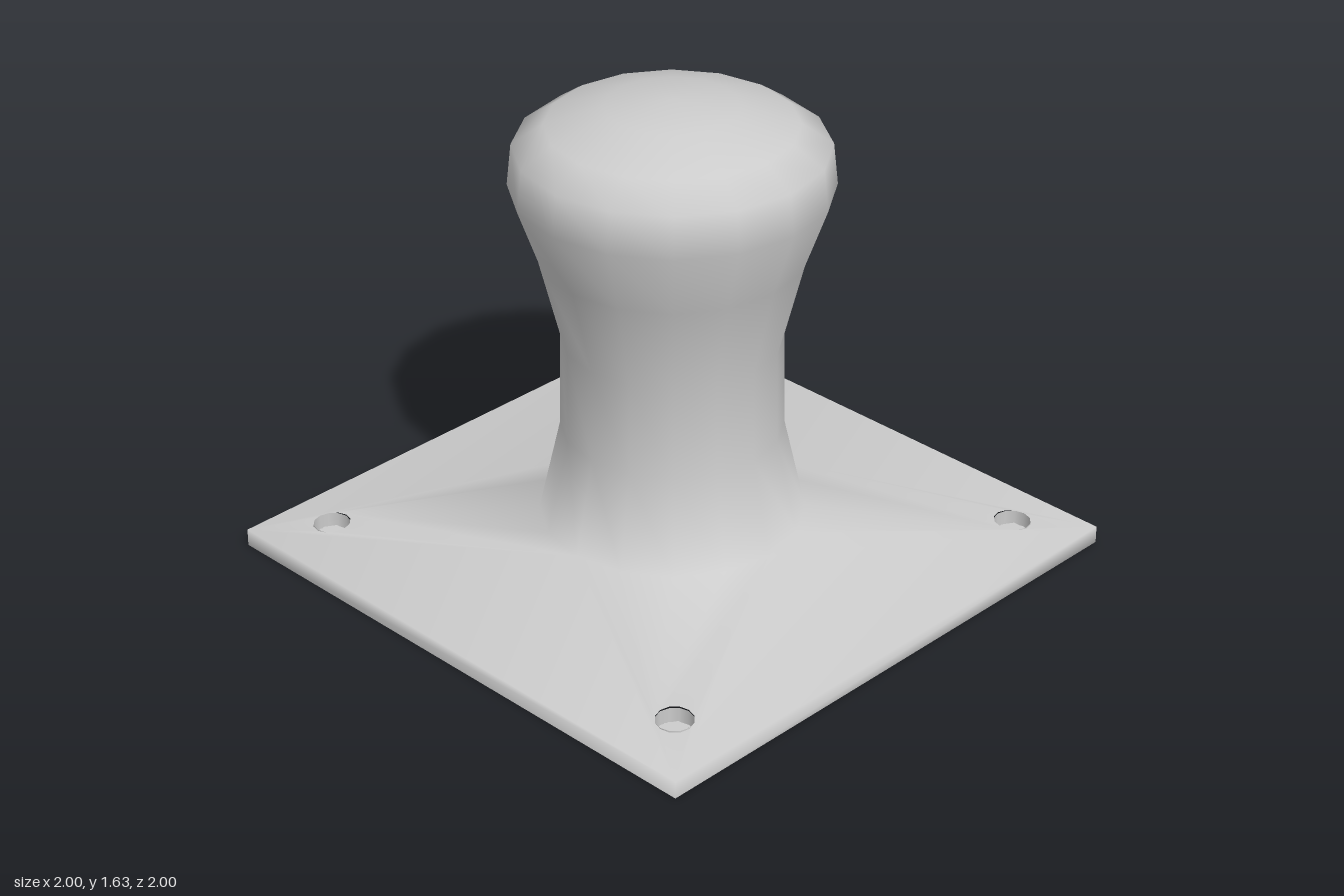
import * as THREE from 'three';
import { mergeGeometries, mergeVertices } from 'three/addons/utils/BufferGeometryUtils.js';

const EDGE_Y = 0.06, FOOT_Y = 0.15, FOOT_R = 0.44, BOLT = 0.8, HOLE_R = 0.062;

// Height of the sloping plate: falls from the foot of the post to the corners
function plateHeight(x, z) {
  if (Math.hypot(x, z) < FOOT_R + 0.01) return FOOT_Y;
  const toCorner = Math.hypot(1 - Math.abs(x), 1 - Math.abs(z));
  return EDGE_Y + (FOOT_Y - EDGE_Y) * toCorner / (Math.SQRT2 - FOOT_R);
}

// Flat outline laid down and lifted onto the plate slope
function plateSurface(shape) {
  const geo = new THREE.ShapeGeometry(shape).rotateX(-Math.PI / 2);
  const p = geo.attributes.position;
  for (let i = 0; i < p.count; i++) p.setY(i, plateHeight(p.getX(i), p.getZ(i)));
  return geo;
}

function ringPoints(cx, cy, r, n, turn, count = n) {
  return Array.from({ length: count }, (_, i) => {
    const a = (i / n) * turn;
    return new THREE.Vector2(cx + r * Math.cos(a), cy + r * Math.sin(a));
  });
}

export function createModel() {
  const group = new THREE.Group();
  group.name = 'bollard';
  const material = new THREE.MeshStandardMaterial({ color: 0xcccccc, side: THREE.DoubleSide });

  // Post profile from foot to crown
  const profile = [
    [FOOT_R, FOOT_Y], [0.367, 0.475], [0.362, 0.8], [0.44, 1.11], [0.522, 1.34],
    [0.507, 1.48], [0.405, 1.55], [0.215, 1.612], [0, 1.635],
  ].map(([r, y]) => new THREE.Vector2(r, y));
  const parts = [new THREE.LatheGeometry(profile, 16)];

  // Plate quarter: corner fan with its bolt hole, edge triangle and rim
  const corner = new THREE.Shape([
    ...ringPoints(0, 0, FOOT_R, 4, Math.PI / 2, 5), new THREE.Vector2(1, 1),
  ]);
  corner.holes.push(new THREE.Path(ringPoints(BOLT, BOLT, HOLE_R, 12, -Math.PI * 2)));
  const edge = new THREE.Shape([
    new THREE.Vector2(0, FOOT_R), new THREE.Vector2(1, 1), new THREE.Vector2(-1, 1),
  ]);
  const rim = new THREE.PlaneGeometry(2, EDGE_Y).translate(0, EDGE_Y / 2, 1);
  const quarter = [plateSurface(corner), plateSurface(edge), rim];
  for (let q = 0; q < 4; q++) {
    for (const geo of quarter) parts.push(geo.clone().rotateY(q * Math.PI / 2));
  }

  // One continuous smooth shell, hollow underneath
  for (const geo of parts) {
    geo.deleteAttribute('uv');
    geo.deleteAttribute('normal');
  }
  const shell = mergeVertices(mergeGeometries(parts), 1e-4);
  shell.computeVertexNormals();
  const body = new THREE.Mesh(shell, material);
  body.name = 'postAndBasePlate';
  group.add(body);

  // Sunken bolts: a closed cup under each hole with a hexagonal head inside
  const holeY = plateHeight(BOLT, BOLT), floorY = 0.035;
  const wallGeo = new THREE.CylinderGeometry(HOLE_R, HOLE_R, holeY - floorY, 12, 1, true);
  const floorGeo = new THREE.CircleGeometry(HOLE_R, 12).rotateX(-Math.PI / 2);
  const headGeo = new THREE.CylinderGeometry(0.045, 0.045, 0.015, 6);
  for (const sx of [-1, 1]) {
    for (const sz of [-1, 1]) {
      const bolt = new THREE.Group();
      bolt.name = 'sunkenBolt';
      const add = (name, geo, y) => {
        const mesh = new THREE.Mesh(geo, material);
        mesh.name = name;
        mesh.position.y = y;
        bolt.add(mesh);
      };
      add('boltCupWall', wallGeo, (holeY + floorY) / 2);
      add('boltCupFloor', floorGeo, floorY);
      add('boltHead', headGeo, floorY + 0.0075);
      bolt.position.set(sx * BOLT, 0, sz * BOLT);
      bolt.rotation.y = Math.PI / 6;
      group.add(bolt);
    }
  }
  return group;
}
